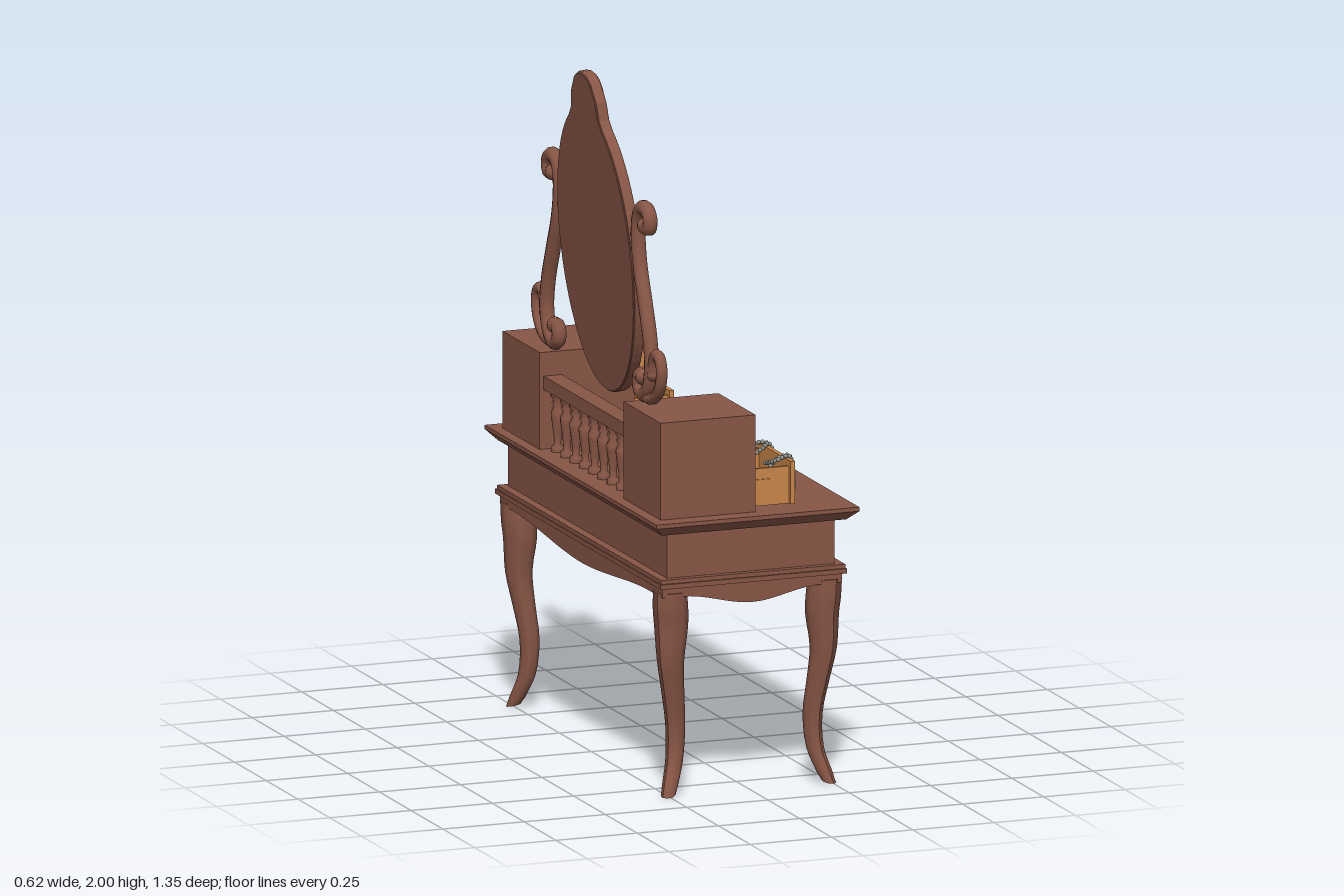
import * as THREE from 'three';
import { mergeGeometries } from 'three/addons/utils/BufferGeometryUtils.js';

const mat = (name, color) => Object.assign(new THREE.MeshStandardMaterial({ color }), { name });

export function createModel() {
  const root = new THREE.Group();
  const wood = mat('brown wood', 0x885646);
  const light = mat('light drawer wood', 0xc9864a);
  const copper = mat('copper ornament', 0xd07848);
  const brass = mat('knob', 0xbd7a3c);
  const glass = mat('mirror glass', 0xb6ceb6);
  const silver = mat('necklace beads', 0x92958c);

  const add = (name, geo, material, parent = root) => {
    const m = new THREE.Mesh(geo, material);
    m.name = name;
    parent.add(m);
    return m;
  };
  // box given by its minimum and maximum on each axis
  const box = (name, x0, x1, y0, y1, z0, z1, material = wood, parent = root) => {
    const g = new THREE.BoxGeometry(x1 - x0, y1 - y0, z1 - z0);
    return add(name, g.translate((x0 + x1) / 2, (y0 + y1) / 2, (z0 + z1) / 2), material, parent);
  };
  const v3 = (p) => new THREE.Vector3(...p);

  // table top with a chamfered underside
  box('tableTop', -0.314, 0.31, 0.808, 0.82, -0.676, 0.676);
  const chamfer = new THREE.BoxGeometry(0.624, 0.028, 1.352);
  const cp = chamfer.attributes.position;
  for (let i = 0; i < cp.count; i++) {
    if (cp.getY(i) < 0) cp.setXYZ(i, cp.getX(i) * 0.91, cp.getY(i), cp.getZ(i) * 0.955);
  }
  const chamferFlat = chamfer.toNonIndexed();
  chamferFlat.computeVertexNormals();
  add('tableTopChamfer', chamferFlat.translate(-0.002, 0.794, 0), wood);

  // case, its two drawer fronts and knobs
  box('case', -0.262, 0.253, 0.64, 0.782, -0.625, 0.625);
  for (const s of [-1, 1]) {
    const c = s * 0.295;
    box('drawerFront', 0.253, 0.258, 0.672, 0.756, c - 0.267, c + 0.267);
    box('drawerPanel', 0.258, 0.261, 0.679, 0.749, c - 0.26, c + 0.26);
    const knob = [[0, 0], [0.012, 0], [0.008, 0.016], [0.02, 0.024], [0.023, 0.034], [0.017, 0.044], [0, 0.049]];
    const g = new THREE.LatheGeometry(knob.map((p) => new THREE.Vector2(...p)), 16);
    add('knob', g.rotateZ(-Math.PI / 2).translate(0.259, 0.714, c), brass);
  }

  // moulding and apron with a softly bellied underside
  box('mouldingUpper', -0.288, 0.279, 0.636, 0.648, -0.645, 0.645);
  box('mouldingLower', -0.292, 0.282, 0.622, 0.636, -0.652, 0.652);
  const apron = new THREE.BoxGeometry(0.552, 0.06, 1.28, 20, 1, 40);
  const ap = apron.attributes.position;
  for (let i = 0; i < ap.count; i++) {
    if (ap.getY(i) > 0) continue;
    const a = THREE.MathUtils.smoothstep(Math.abs(ap.getX(i)), 0, 0.21);
    const b = THREE.MathUtils.smoothstep(Math.abs(ap.getZ(i)), 0, 0.54);
    ap.setY(i, -0.034 + 0.034 * a * b);
  }
  apron.computeVertexNormals();
  add('apron', apron.translate(-0.005, 0.594, 0), wood);

  // curved legs: height, diagonal offset and half width along the length
  const legCurve = new THREE.CatmullRomCurve3([
    [0.605, -0.005, 0.046], [0.55, -0.008, 0.048], [0.5, -0.011, 0.046], [0.4, -0.008, 0.037], [0.3, -0.02, 0.031],
    [0.2, -0.032, 0.027], [0.1, -0.026, 0.024], [0.04, -0.008, 0.022], [0.005, 0.004, 0.02],
  ].map(v3));
  const leg = new THREE.CylinderGeometry(1, 1, 1, 8, 24);
  leg.rotateY(Math.PI / 8);
  const lp = leg.attributes.position;
  for (let i = 0; i < lp.count; i++) {
    const k = legCurve.getPoint(0.5 - lp.getY(i));
    const w = k.z * 1.06;
    const x = lp.getX(i) * w + k.y, z = lp.getZ(i) * w + k.y;
    lp.setXYZ(i, x, k.x + (k.x < 0.02 ? (k.y - (x + z) / 2) * 0.3 : 0), z);
  }
  leg.computeVertexNormals();
  [[1, 1, 0], [1, -1, 1], [-1, -1, 2], [-1, 1, 3]].forEach(([sx, sz, q]) => {
    const m = add('leg', leg, wood);
    m.position.set(-0.005 + sx * 0.243, 0, sz * 0.605);
    m.rotation.y = q * Math.PI / 2;
  });

  // side cabinets
  const F = 0.012;
  for (const s of [-1, 1]) {
    const c = s * 0.476;
    box('cabinet', -0.28, F, 0.82, 1.105, c - 0.146, c + 0.146);
    for (const y of [0.828, 0.97]) {
      box('drawerOpening', F, F + 0.003, y, y + 0.128, c - 0.138, c + 0.138, light);
    }
  }

  // small open drawers pulled out to different lengths
  const smallDrawer = (c, y, out) => {
    const g = new THREE.Group();
    g.name = 'smallDrawer';
    root.add(g);
    const h = 0.118, w = 0.122;
    box('drawerFloor', F, out, y, y + 0.01, c - w, c + w, light, g);
    for (const s of [-1, 1]) {
      const z = c + s * (w - 0.005);
      box('drawerSide', F, out, y, y + h - 0.008, z - 0.005, z + 0.005, light, g);
      box('drawerRunner', F, out - 0.07, y + 0.05, y + 0.078, z + s * 0.005 - 0.003, z + s * 0.005 + 0.003, light, g);
    }
    box('drawerFace', out - 0.014, out, y, y + h + 0.008, c - 0.134, c + 0.134, light, g);
  };
  smallDrawer(0.476, 0.83, 0.138);
  smallDrawer(-0.476, 0.83, 0.138);
  smallDrawer(-0.476, 0.972, 0.076);

  // gallery rail with turned balusters
  box('galleryRail', -0.268, -0.212, 0.995, 1.035, -0.332, 0.332);
  const turned = [[0.019, 0], [0.019, 0.015], [0.01, 0.022], [0.012, 0.05], [0.019, 0.1], [0.02, 0.115],
    [0.011, 0.135], [0.018, 0.143], [0.011, 0.15], [0.02, 0.162], [0.02, 0.177]];
  const baluster = new THREE.LatheGeometry(turned.map((p) => new THREE.Vector2(...p)), 12);
  for (let i = -4; i <= 4; i++) add('baluster', baluster, wood).position.set(-0.24, 0.82, i * 0.0728);

  // tilted oval mirror, built facing +z then turned to face +x
  const mirror = new THREE.Group();
  mirror.name = 'mirror';
  mirror.position.set(-0.222, 1.48, 0);
  mirror.rotation.set(0, Math.PI / 2, 0);
  root.add(mirror);
  const tilt = new THREE.Group();
  tilt.name = 'mirrorTilt';
  tilt.rotation.x = -0.085;
  mirror.add(tilt);
  const crown = [[-0.105, 0.4], [-0.094, 0.45], [-0.06, 0.5], [-0.03, 0.517], [0, 0.521],
    [0.03, 0.517], [0.06, 0.5], [0.094, 0.45], [0.105, 0.4]];
  const outline = () => {
    const pts = [];
    for (let i = 0; i <= 60; i++) {
      const a = (63 - (306 * i) / 60) * Math.PI / 180;
      pts.push(new THREE.Vector2(0.285 * Math.cos(a), 0.417 * Math.sin(a)));
    }
    return new THREE.Shape(pts.concat(crown.map((p) => new THREE.Vector2(...p))));
  };
  const ring = outline();
  ring.holes.push(new THREE.Path().absellipse(0, 0.002, 0.25, 0.382, 0, Math.PI * 2));
  const bevel = { bevelThickness: 0.006, bevelSize: 0.005, bevelSegments: 2, curveSegments: 48 };
  add('mirrorFrame', new THREE.ExtrudeGeometry(ring, { depth: 0.022, ...bevel }).translate(0, 0, -0.008), wood, tilt);
  add('mirrorBack', new THREE.ExtrudeGeometry(outline(), { depth: 0.008, bevelEnabled: false }).translate(0, 0, -0.016), wood, tilt);
  add('mirrorGlass', new THREE.CircleGeometry(1, 64).scale(0.25, 0.382, 1).translate(0, 0.002, 0.006), glass, tilt);
  add('crownDisc', new THREE.CylinderGeometry(0.065, 0.065, 0.008, 32).rotateX(Math.PI / 2).translate(0, 0.45, 0.022), copper, tilt);

  // scrolled mirror supports: [z, y] paths swept by a round tube
  const scroll = [[0.362, 1.625], [0.392, 1.622], [0.4, 1.65], [0.375, 1.675], [0.338, 1.672], [0.312, 1.635], [0.307, 1.58],
    [0.322, 1.5], [0.362, 1.4], [0.4, 1.3], [0.412, 1.22], [0.392, 1.155], [0.352, 1.127], [0.318, 1.145], [0.322, 1.18], [0.348, 1.178]];
  const loop = [[0.425, 1.2], [0.432, 1.242], [0.452, 1.264], [0.478, 1.257], [0.492, 1.225], [0.482, 1.18], [0.45, 1.142], [0.405, 1.125], [0.36, 1.125]];
  const sweep = (name, path, r, s) => {
    const pts = path.map(([z, y]) => new THREE.Vector3(-0.226, y, z * s));
    add(name, new THREE.TubeGeometry(new THREE.CatmullRomCurve3(pts), 80, r, 10), wood);
    for (const p of [pts[0], pts[pts.length - 1]]) {
      add(name + 'End', new THREE.SphereGeometry(r * 1.1, 12, 8).translate(p.x, p.y, p.z), wood);
    }
  };
  for (const s of [-1, 1]) {
    sweep('mirrorSupport', scroll, 0.022, s);
    sweep('supportLoop', loop, 0.017, s);
  }

  // bead necklaces strung along curves
  const necklace = (points) => {
    const curve = new THREE.CatmullRomCurve3(points.map(v3));
    const n = Math.round(curve.getLength() / 0.012);
    const beads = curve.getSpacedPoints(n).map((p) => new THREE.IcosahedronGeometry(0.0065, 1).translate(p.x, p.y, p.z));
    add('necklace', mergeGeometries(beads), silver);
  };
  // coiled on the table
  necklace([[0, 0.24], [0.035, 0.2], [0.047, 0.14], [0.037, 0.07], [0.012, 0.02], [-0.035, -0.008], [-0.085, 0.025], [-0.125, 0.08],
    [-0.13, 0.14], [-0.1, 0.16], [-0.06, 0.14], [-0.037, 0.1], [-0.05, 0.05], [-0.085, 0.04], [-0.11, 0.08], [-0.095, 0.125],
    [-0.06, 0.13], [-0.04, 0.07], [-0.08, 0.06], [-0.11, 0.12], [-0.115, 0.165], [-0.06, 0.195], [-0.01, 0.215]]
    .map(([x, z]) => [x, 0.827, z]));
  // hanging over the lower left drawer
  necklace([[0.09, 0.93, 0.5], [0.1, 0.95, 0.56], [0.135, 0.963, 0.57], [0.152, 0.92, 0.555], [0.165, 0.86, 0.53], [0.165, 0.83, 0.49],
    [0.165, 0.84, 0.44], [0.155, 0.9, 0.41], [0.135, 0.963, 0.395], [0.1, 0.955, 0.37], [0.075, 0.935, 0.39]]);
  necklace([[0.08, 0.94, 0.43], [0.11, 0.955, 0.425], [0.138, 0.963, 0.405], [0.15, 0.925, 0.43], [0.155, 0.9, 0.48],
    [0.15, 0.92, 0.53], [0.138, 0.963, 0.56], [0.11, 0.95, 0.54], [0.09, 0.93, 0.54]]);
  // hanging over the upper right drawer
  necklace([[0.02, 1.07, -0.51], [0.035, 1.095, -0.52], [0.07, 1.105, -0.525], [0.09, 1.06, -0.515], [0.105, 1.015, -0.485],
    [0.108, 1.0, -0.455], [0.105, 1.015, -0.42], [0.09, 1.06, -0.395], [0.07, 1.105, -0.39], [0.035, 1.095, -0.39]]);

  return root;
}
